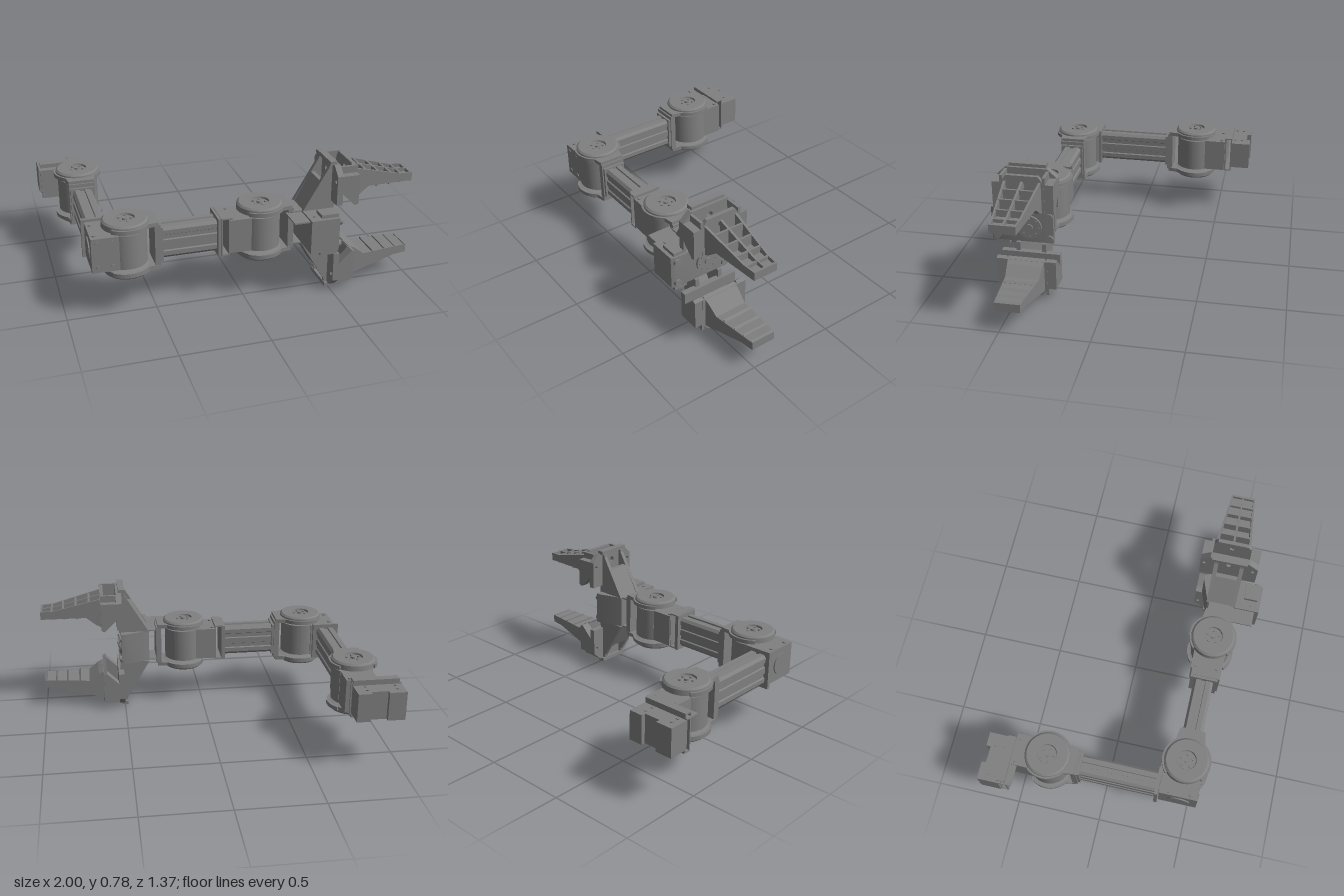
import * as THREE from 'three';
import { toCreasedNormals } from 'three/addons/utils/BufferGeometryUtils.js';

const grey = new THREE.MeshStandardMaterial({ color: 0x808080 });
grey.name = 'machined grey';

const MID_Y = 0.39;

function add(parent, name, geometry, x = 0, y = 0, z = 0) {
  const mesh = new THREE.Mesh(geometry, grey);
  mesh.name = name;
  mesh.position.set(x, y, z);
  parent.add(mesh);
  return mesh;
}

// Box given by its limits on each axis
function box(parent, name, x0, x1, y0, y1, z0, z1) {
  return add(parent, name, new THREE.BoxGeometry(x1 - x0, y1 - y0, z1 - z0),
    (x0 + x1) / 2, (y0 + y1) / 2, (z0 + z1) / 2);
}

function shapeOf(points, holes = []) {
  const shape = new THREE.Shape(points.map(([x, y]) => new THREE.Vector2(x, y)));
  for (const [x, y, r] of holes) shape.holes.push(new THREE.Path().absarc(x, y, r, 0, Math.PI * 2, true));
  return shape;
}

function extrude(shape, depth) {
  return new THREE.ExtrudeGeometry(shape, { depth, bevelEnabled: false, curveSegments: 32 });
}

// Side profile (x, y) between two z values
const profile = (points, z0, z1) => extrude(shapeOf(points), z1 - z0).translate(0, 0, z0);
// Plan (x, z) between two heights
const plan = (shape, y0, y1) =>
  toCreasedNormals(extrude(shape, y1 - y0).rotateX(Math.PI / 2).translate(0, y1, 0), 0.5);
// Cross-section (z, y) between two x values
const across = (shape, x0, x1) =>
  toCreasedNormals(extrude(shape, x1 - x0).rotateY(Math.PI / 2).translate(x0, 0, 0), 0.5);

// Small round parts along an axis
function pin(parent, name, axis, r, length, x, y, z) {
  const g = new THREE.CylinderGeometry(r, r, length, 20);
  if (axis === 'x') g.rotateZ(Math.PI / 2);
  if (axis === 'z') g.rotateX(Math.PI / 2);
  return add(parent, name, g, x, y, z);
}

// Rotary joint: its link leaves along local +x
function joint(parent, name, x, z, turn) {
  const g = new THREE.Group();
  g.name = name;
  g.position.set(x, MID_Y, z);
  g.rotation.y = turn;
  parent.add(g);

  // Motor housing: a block running into a round barrel
  const body = new THREE.Shape();
  body.moveTo(-0.2, -0.09);
  body.lineTo(-0.07, -0.09);
  body.absarc(0, 0, 0.117, -2.23, 2.23, false);
  body.lineTo(-0.2, 0.09);
  add(g, 'motorHousing', plan(body, -0.098, 0.1));
  pin(g, 'jointAxle', 'y', 0.065, 0.24, 0, 0, 0);

  // Bevelled caps with a recessed bolt circle
  const capPoints = [[0, 0.146], [0.052, 0.146], [0.055, 0.158], [0.116, 0.158], [0.127, 0.148],
    [0.13, 0.118], [0.12, 0.114], [0, 0.114]].map(([r, y]) => new THREE.Vector2(r, y)).reverse();
  const cap = toCreasedNormals(new THREE.LatheGeometry(capPoints, 48), 0.4);
  const arm = new THREE.Shape();
  arm.moveTo(0.17, -0.075);
  arm.lineTo(0.17, 0.075);
  arm.lineTo(0.11, 0.085);
  arm.absarc(0, 0, 0.139, 0.66, 2.3, false);
  arm.lineTo(-0.03, 0);
  arm.absarc(0, 0, 0.139, -2.3, -0.66, false);
  arm.lineTo(0.11, -0.085);
  for (const s of [1, -1]) {
    const side = new THREE.Group();
    side.name = s > 0 ? 'upperCap' : 'lowerCap';
    if (s < 0) side.rotation.x = Math.PI;
    g.add(side);
    add(side, 'cap', cap);
    add(side, 'yokeArm', plan(arm, 0.116, 0.139));
    pin(side, 'centreBolt', 'y', 0.014, 0.014, 0, 0.15, 0);
    for (let i = 0; i < 5; i++) {
      const a = i * Math.PI * 0.4;
      pin(side, 'capBolt', 'y', 0.008, 0.01, Math.cos(a) * 0.036, 0.149, Math.sin(a) * 0.036);
    }
    for (const b of [-1, 1]) pin(side, 'housingBolt', 'y', 0.011, 0.012, -0.18, 0.101, b * 0.065);
  }
  // Yoke wall joining the arms
  box(g, 'yokeWall', 0.147, 0.18, -0.122, 0.122, -0.075, 0.075);
  return g;
}

// Grooved link tube with end flanges
function link(parent, x0, x1) {
  const quarter = [[0.057, 0.018], [0.049, 0.022], [0.049, 0.045], [0.057, 0.05], [0.057, 0.076],
    [0.043, 0.092], [0.014, 0.092], [0.012, 0.083]];
  const back = [...quarter].reverse();
  const points = [...quarter, ...back.map(([x, y]) => [-x, y]),
    ...quarter.map(([x, y]) => [-x, -y]), ...back.map(([x, y]) => [x, -y])];
  add(parent, 'linkTube', across(shapeOf(points), x0, x1));
  box(parent, 'linkCollar', x0, x0 + 0.015, -0.1, 0.1, -0.068, 0.068);
  box(parent, 'linkCollar', x1 - 0.02, x1, -0.113, 0.113, -0.08, 0.08);
}

// Thin bracket, open at both ends
function bracket(parent, x0, x1, z0, z1) {
  const t = 0.008;
  box(parent, 'bracketTop', x0, x1, 0.108, 0.116, z0, z1);
  box(parent, 'bracketBottom', x0, x1, -0.11, -0.102, z0, z1);
  box(parent, 'bracketWall', x0, x0 + t, -0.108, 0.112, z0, z1);
  box(parent, 'bracketWall', x1 - t, x1, -0.108, 0.112, z0, z1);
}

// Narrow a finger part towards its tip
function taper(geometry) {
  const p = geometry.attributes.position;
  for (let i = 0; i < p.count; i++) p.setZ(i, p.getZ(i) * (1 - 0.32 * (p.getX(i) - 0.62) / 0.38));
  geometry.computeVertexNormals();
  return geometry;
}

function finger(parent, name, turn) {
  const g = new THREE.Group();
  g.name = name;
  g.position.set(0, MID_Y, 0.445);
  g.rotation.x = turn;
  parent.add(g);

  // Sloping support with a skin between two cheeks
  const gusset = [[0.335, 0.1], [0.52, 0.1], [0.52, 0.37], [0.485, 0.37], [0.48, 0.345]];
  for (const s of [-1, 1]) add(g, 'supportCheek', profile(gusset, s * 0.075 - 0.012, s * 0.075 + 0.012));
  add(g, 'supportSkin', profile([[0.34, 0.1], [0.36, 0.1], [0.46, 0.27], [0.435, 0.27]], -0.07, 0.07));
  box(g, 'supportCap', 0.48, 0.52, 0.365, 0.388, -0.105, 0.105);

  // Eight-sided carriage plate with bolt holes
  const plate = [[-0.17, 0.15], [0.17, 0.15], [0.17, 0.32], [0.115, 0.37], [-0.115, 0.37], [-0.17, 0.32]];
  add(g, 'carriagePlate', across(shapeOf(plate, [[0, 0.31, 0.017], [0.145, 0.285, 0.011], [-0.145, 0.285, 0.011]]), 0.5, 0.535));
  for (const s of [-1, 1]) {
    const cheek = [[0.53, 0.22], [0.61, 0.14], [0.63, 0.15], [0.63, 0.32], [0.53, 0.32]];
    add(g, 'carriageCheek', profile(cheek, s * 0.1425 - 0.0275, s * 0.1425 + 0.0275));
    box(g, 'carriageRib', 0.5, 0.63, 0.32, 0.36, s * 0.118 - 0.008, s * 0.118 + 0.008);
  }
  const front = [[-0.12, 0.15], [0.12, 0.15], [0.12, 0.32], [0.09, 0.365], [-0.09, 0.365], [-0.12, 0.32]];
  add(g, 'fingerRoot', across(shapeOf(front, [[0, 0.31, 0.017]]), 0.61, 0.632));

  // Gripping floor, side walls and ribs
  const floor = [[0.61, 0.14], [0.66, 0.165], [0.72, 0.213], [1, 0.205], [1, 0.235], [0.72, 0.232], [0.62, 0.17]];
  add(g, 'gripFloor', taper(profile(floor, -0.105, 0.105)));
  const wall = [[0.62, 0.15], [0.72, 0.22], [1, 0.21], [1, 0.254], [0.92, 0.258], [0.62, 0.335]];
  for (const z of [-0.098, 0, 0.098]) add(g, 'fingerRib', taper(profile(wall, z - 0.007, z + 0.007)));
  for (const x of [0.7, 0.78, 0.86, 0.93, 0.994]) {
    const top = Math.max(0.254, 0.335 - (x - 0.62) * 0.257);
    add(g, 'crossRib', taper(profile([[x - 0.006, 0.2], [x + 0.006, 0.21], [x + 0.006, top], [x - 0.006, top]], -0.1, 0.1)));
  }
}

export function createModel() {
  const root = new THREE.Group();
  root.name = 'robotArm';

  // Base joint, its motor and its link
  const base = joint(root, 'baseJoint', -0.79, -0.33, -Math.PI / 2);
  bracket(base, -0.245, -0.2, -0.065, 0.2);
  box(base, 'bracketTab', -0.245, -0.16, 0.084, 0.092, 0.085, 0.21);
  box(base, 'baseMotor', -0.335, -0.24, -0.083, 0.085, -0.065, 0.21);
  box(base, 'motorLug', -0.36, -0.33, -0.083, 0.085, 0.11, 0.21);
  box(base, 'motorLug', -0.36, -0.33, -0.083, 0.085, -0.065, 0.015);
  for (const z of [0, 0.17]) for (const x of [-0.31, -0.265]) pin(base, 'motorBolt', 'y', 0.009, 0.18, x, 0, z);
  link(base, 0.18, 0.65);

  // Middle joint with a side mount for the first link
  const elbow = joint(root, 'elbowJoint', -0.65, 0.44, 0);
  box(elbow, 'sideMount', -0.203, -0.05, -0.1, 0.1, -0.115, 0.105);
  for (const y of [-0.07, 0.07]) for (const x of [-0.17, -0.09]) pin(elbow, 'mountBolt', 'z', 0.012, 0.23, x, y, -0.005);
  pin(elbow, 'mountDisc', 'x', 0.065, 0.012, -0.204, 0, 0);
  link(elbow, 0.18, 0.52);

  // Wrist joint
  const wrist = joint(root, 'wristJoint', 0.11, 0.44, 0);
  bracket(wrist, -0.245, -0.195, -0.08, 0.09);

  // Gripper body with its motor
  const gripper = new THREE.Group();
  gripper.name = 'gripperBody';
  gripper.position.y = MID_Y;
  root.add(gripper);
  const bodyPlan = [[0.335, 0.365], [0.48, 0.315], [0.51, 0.315], [0.51, 0.65], [0.5, 0.675], [0.335, 0.675]];
  add(gripper, 'gripperMotor', plan(shapeOf(bodyPlan), -0.095, 0.103));
  box(gripper, 'mountPlateTop', 0.275, 0.34, 0.095, 0.103, 0.375, 0.52);
  box(gripper, 'mountPlateBottom', 0.275, 0.34, -0.1, -0.092, 0.375, 0.52);
  box(gripper, 'mountTab', 0.245, 0.34, 0.085, 0.093, 0.5, 0.65);
  for (const s of [-1, 1]) box(gripper, 'cableClip', 0.4, 0.5, s * 0.11 - 0.013, s * 0.11 + 0.013, 0.575, 0.655);
  pin(gripper, 'hornDisc', 'x', 0.07, 0.014, 0.515, 0, 0.45);
  pin(gripper, 'hornHub', 'x', 0.022, 0.03, 0.515, 0, 0.45);
  for (let i = 0; i < 8; i++) {
    const a = i * Math.PI / 4;
    pin(gripper, 'hornBolt', 'x', 0.007, 0.008, 0.523, Math.sin(a) * 0.052, 0.45 + Math.cos(a) * 0.052);
  }
  for (const y of [-0.066, 0.07]) for (const z of [0.335, 0.642]) pin(gripper, 'cornerBolt', 'x', 0.02, 0.02, 0.512, y, z);
  for (const x of [0.37, 0.46]) pin(gripper, 'motorBolt', 'y', 0.009, 0.21, x, 0.004, 0.62);

  finger(root, 'upperFinger', 0);
  finger(root, 'lowerFinger', Math.PI);
  return root;
}
